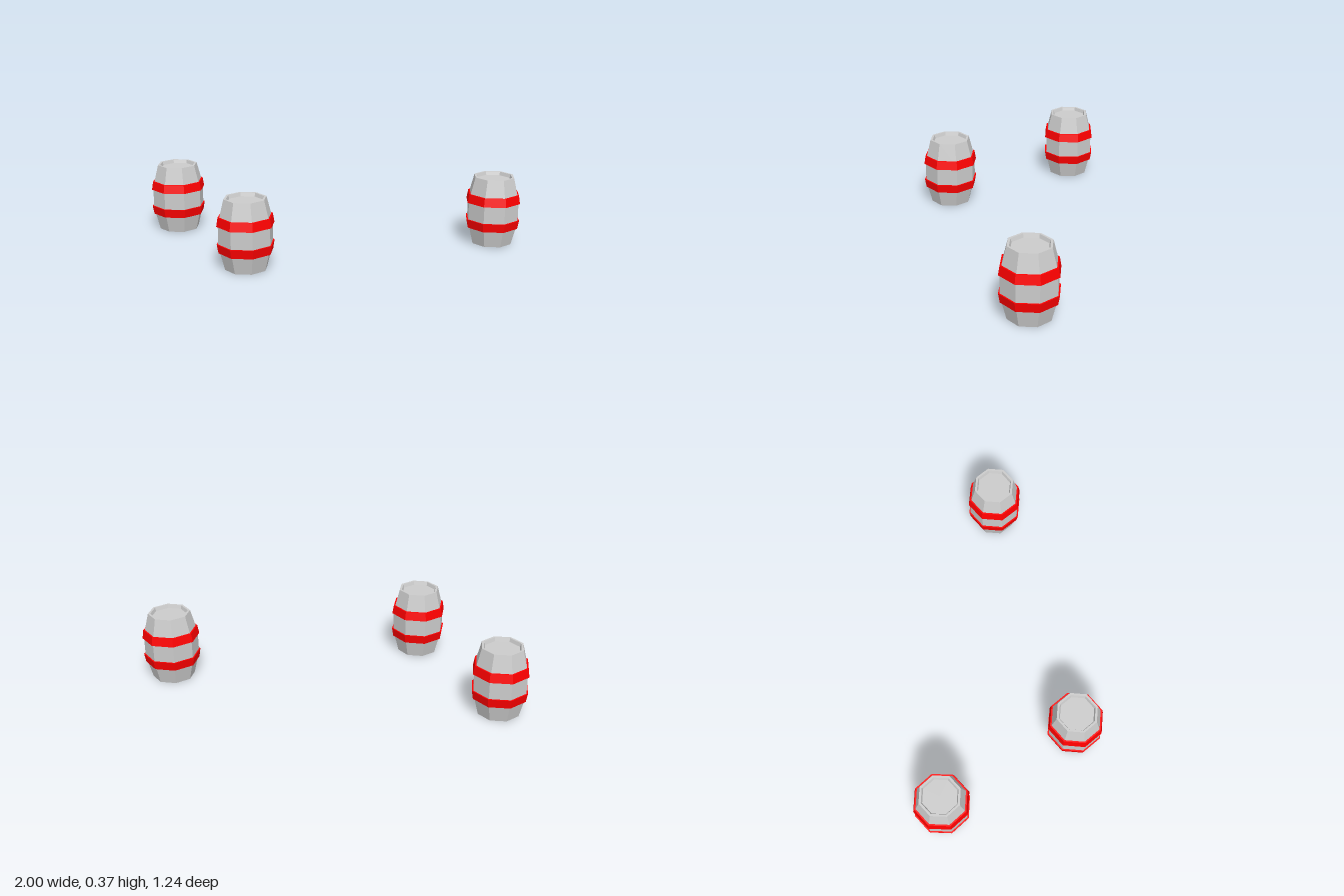
import * as THREE from 'three';

const SIDES = 8;
const HEIGHT = 0.372;

const wood = new THREE.MeshStandardMaterial({ color: 0xcccccc, flatShading: true });
const paint = new THREE.MeshStandardMaterial({ flatShading: true });
paint.color.set(0xff0000);

// Eight-sided solid of revolution from [radius, height] pairs
function turned(name, pairs, material) {
  const points = pairs.map(([r, y]) => new THREE.Vector2(r, y));
  const mesh = new THREE.Mesh(new THREE.LatheGeometry(points, SIDES), material);
  mesh.name = name;
  return mesh;
}

// Flip a profile top to bottom, keeping its winding
const flipped = (pairs) => pairs.map(([r, y]) => [r, HEIGHT - y]).reverse();

// Lower half of the staves: recessed end, rim, flared side
const lowerHalf = [[0, 0.018], [0.093, 0.018], [0.099, 0], [0.111, 0], [0.143, 0.125]];

// Lower hoop: wider towards the middle of the barrel
const hoop = [[0.13, 0.092], [0.143, 0.092], [0.151, 0.139], [0.14, 0.139], [0.13, 0.092]];

function createBarrel(name, x, z, turn) {
  const barrel = new THREE.Group();
  barrel.name = name;
  barrel.add(
    turned('staves', [...lowerHalf, ...flipped(lowerHalf)], wood),
    turned('lowerHoop', hoop, paint),
    turned('upperHoop', flipped(hoop), paint)
  );
  barrel.position.set(x, 0, z);
  barrel.rotation.y = turn;
  return barrel;
}

export function createModel() {
  const model = new THREE.Group();
  model.name = 'barrels';
  model.add(
    createBarrel('rightBarrel', -0.849, 0.022, 0),
    createBarrel('frontBarrel', -0.167, 0.47, -0.045),
    createBarrel('leftBarrel', 0.848, -0.473, -0.045)
  );
  return model;
}
